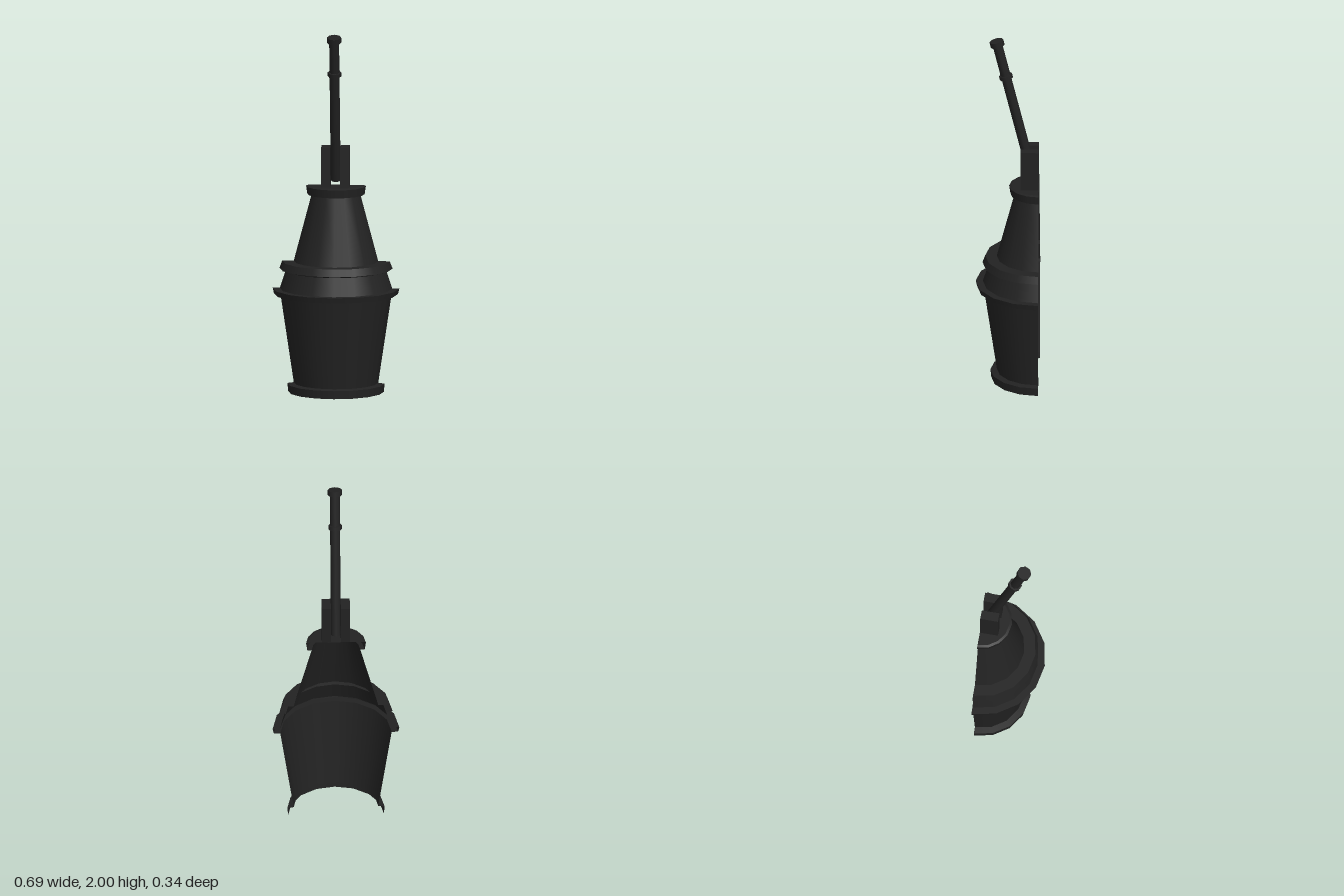
import * as THREE from 'three';
import { mergeGeometries } from 'three/addons/utils/BufferGeometryUtils.js';

const BACK = -0.175; // plane of the open back

export function createModel() {
  const model = new THREE.Group();
  const black = new THREE.MeshStandardMaterial({ color: 0x222222, side: THREE.DoubleSide });
  black.name = 'black';

  function add(name, geometry, parent = model) {
    const mesh = new THREE.Mesh(geometry, black);
    mesh.name = name;
    parent.add(mesh);
    return mesh;
  }

  // Half-round shell: smooth around, sharp at each step of the profile
  function halfShell(name, profile) {
    const bands = [];
    for (let i = 0; i < profile.length - 1; i++) {
      const pair = [profile[i], profile[i + 1]].map(([r, y]) => new THREE.Vector2(r, y));
      bands.push(new THREE.LatheGeometry(pair, 8, -Math.PI / 2, Math.PI));
    }
    add(name, mergeGeometries(bands)).position.z = BACK;
  }

  // Stepped housing, open at the back and bottom
  halfShell('baseRing', [[0.26, 0], [0.265, 0.045], [0.23, 0.05]]);
  halfShell('lowerBody', [[0.23, 0.05], [0.303, 0.54]]);
  halfShell('middleRing', [[0.303, 0.54], [0.338, 0.54], [0.345, 0.57], [0.306, 0.57]]);
  halfShell('shoulder', [[0.306, 0.57], [0.273, 0.67]]);
  halfShell('upperRing', [[0.273, 0.67], [0.308, 0.68], [0.293, 0.72], [0.23, 0.72]]);
  halfShell('cone', [[0.23, 0.72], [0.132, 1.09]]);
  halfShell('topCap', [[0.132, 1.09], [0.156, 1.09], [0.163, 1.135], [0.15, 1.14], [0, 1.14]]);

  // Two posts holding the tube
  for (const side of [-1, 1]) {
    add(side < 0 ? 'rightPost' : 'leftPost', new THREE.BoxGeometry(0.05, 0.22, 0.098))
      .position.set(side * 0.052, 1.25, -0.124);
  }

  // Tube leaning forward, with two collars
  const tube = new THREE.Group();
  tube.name = 'leaningTube';
  tube.position.set(0, 1.17, -0.146);
  tube.rotation.x = 0.243;
  model.add(tube);
  const round = (name, radius, from, to) => {
    const part = add(name, new THREE.CylinderGeometry(radius, radius, to - from, 8), tube);
    part.position.y = (from + to) / 2;
  };
  round('tubeBarrel', 0.027, 0, 0.83);
  round('tubeCollar', 0.037, 0.616, 0.639);
  round('tubeTip', 0.039, 0.815, 0.845);

  return model;
}
